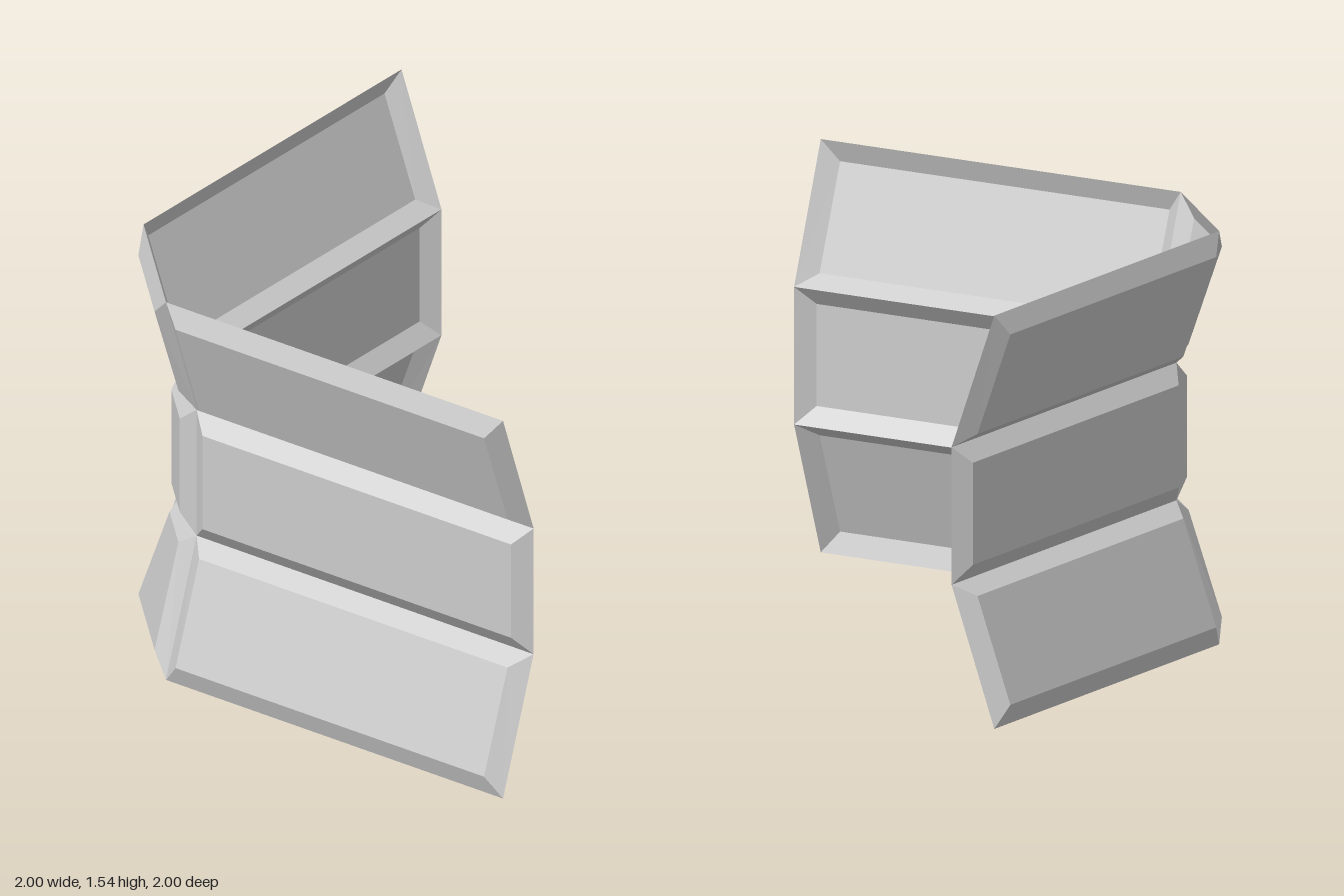
import * as THREE from 'three';

// Each row: base edges [y, depth], raised panel edges on the walls and on the corner
const rows = [
  { name: 'lower', base: [[0, 0.972], [0.513, 0.79]], wall: [[0.08, 1], [0.467, 0.86]], corner: [[0.08, 0.932], [0.46, 0.79]] },
  { name: 'middle', base: [[0.513, 0.79], [1.025, 0.79]], wall: [[0.58, 0.84], [0.96, 0.84]], corner: [[0.58, 0.782], [0.96, 0.782]] },
  { name: 'upper', base: [[1.025, 0.79], [1.538, 0.972]], wall: [[1.07, 0.86], [1.458, 1]], corner: [[1.078, 0.79], [1.458, 0.932]] },
];

// Each column maps a depth to its left and right plan positions [x, z], seen from outside
const columns = [
  {
    name: 'SideWall', kind: 'wall',
    base: [d => [-d, -1], d => [-d, 0.535]],
    inner: [d => [-d, -0.935], d => [-d, 0.47]],
  },
  {
    name: 'Corner', kind: 'corner',
    base: [d => [-d, 0.535], d => [-0.535, d]],
    inner: [d => [-d, 0.618], d => [-0.618, d]],
  },
  {
    name: 'FrontWall', kind: 'wall',
    base: [d => [-0.535, d], d => [1, d]],
    inner: [d => [-0.47, d], d => [0.935, d]],
  },
];

// Four corners of a panel, counter-clockwise from bottom left
function corners([left, right], [[y0, d0], [y1, d1]]) {
  const point = (side, y, d) => { const [x, z] = side(d); return [x, y, z]; };
  return [point(left, y0, d0), point(right, y0, d0), point(right, y1, d1), point(left, y1, d1)];
}

// Thin panel: raised centre with four sloping borders
function panelGeometry(outer, inner) {
  const positions = [];
  const quad = (a, b, c, d) => positions.push(...a, ...b, ...c, ...a, ...c, ...d);
  quad(...inner);
  for (let i = 0; i < 4; i++) {
    const j = (i + 1) % 4;
    quad(outer[i], outer[j], inner[j], inner[i]);
  }
  const geometry = new THREE.BufferGeometry();
  geometry.setAttribute('position', new THREE.Float32BufferAttribute(positions, 3));
  geometry.computeVertexNormals();
  return geometry;
}

export function createModel() {
  const group = new THREE.Group();
  group.name = 'panelledCornerWall';
  const material = new THREE.MeshStandardMaterial({ color: 0xcccccc, flatShading: true, side: THREE.DoubleSide });
  for (const column of columns) {
    for (const row of rows) {
      const outer = corners(column.base, row.base);
      const inner = corners(column.inner, row[column.kind]);
      const mesh = new THREE.Mesh(panelGeometry(outer, inner), material);
      mesh.name = `${row.name}${column.name}Panel`;
      group.add(mesh);
    }
  }
  return group;
}
